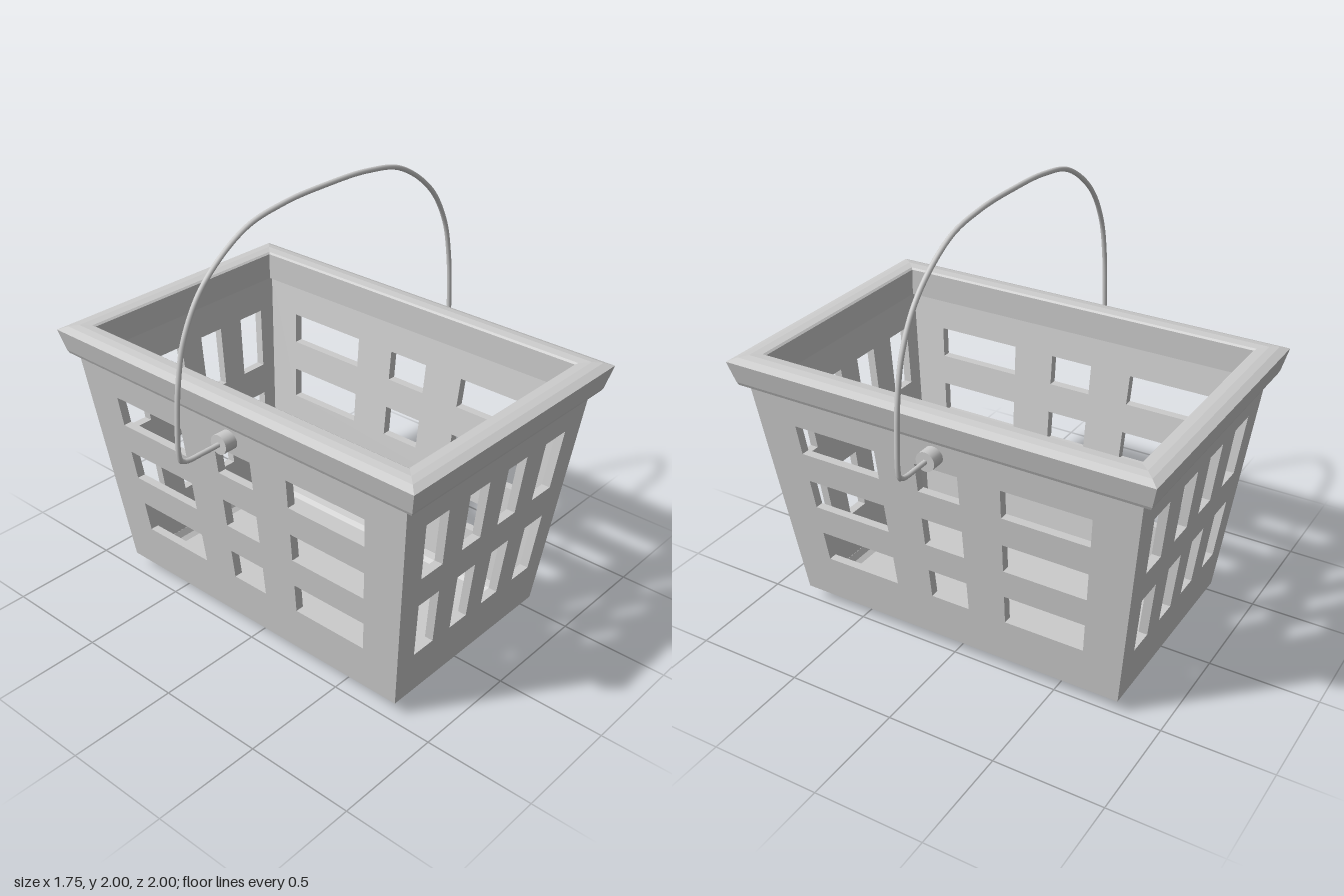
import * as THREE from 'three';

const CX = 0.015;      // basket is set slightly off the handle's centre
const THICK = 0.04;    // wall thickness
const Y0 = 0.065, Y1 = 1.145;
const material = new THREE.MeshStandardMaterial({ color: 0xcccccc, side: THREE.DoubleSide });

function add(parent, name, geometry) {
  const mesh = new THREE.Mesh(geometry, material);
  mesh.name = name;
  parent.add(mesh);
  return mesh;
}

// Half depth (z) and half width (x) of the tapering body at height y
const halfZ = y => THREE.MathUtils.mapLinear(y, Y0, Y1, 0.80, 0.93);
const halfX = y => THREE.MathUtils.mapLinear(y, Y0, Y1, 0.485, 0.612);

// Mitred rectangular frame swept from a closed profile of [half depth, y]
function frame(profile, inset) {
  const corners = [[1, 1], [1, -1], [-1, -1], [-1, 1]];
  const pos = [];
  const point = (c, [r, y]) => [c[0] * (r - inset), y, c[1] * r];
  corners.forEach((c, i) => {
    const d = corners[(i + 1) % 4];
    profile.forEach((p, j) => {
      const q = profile[(j + 1) % profile.length];
      const [a, b, e, f] = [point(c, p), point(d, p), point(d, q), point(c, q)];
      pos.push(...a, ...b, ...e, ...a, ...e, ...f);
    });
  });
  const g = new THREE.BufferGeometry();
  g.setAttribute('position', new THREE.Float32BufferAttribute(pos, 3));
  g.computeVertexNormals();
  return g;
}

// Sloping wall with holes; u runs -1..1 across the width at every height
function wall(width, dist, columns, rows) {
  const shape = new THREE.Shape([[-1, Y0], [1, Y0], [1, Y1], [-1, Y1]].map(p => new THREE.Vector2(...p)));
  for (const [u0, u1] of columns) for (const [v0, v1] of rows) {
    shape.holes.push(new THREE.Path([[u0, v0], [u0, v1], [u1, v1], [u1, v0]].map(p => new THREE.Vector2(...p))));
  }
  const g = new THREE.ExtrudeGeometry(shape, { depth: 1, bevelEnabled: false });
  const p = g.attributes.position;
  for (let i = 0; i < p.count; i++) {
    const u = p.getX(i), y = p.getY(i), inward = (1 - p.getZ(i)) * THICK;
    const mitre = Math.abs(u) > 0.99 ? inward : 0;
    p.setXYZ(i, u * (width(y) - mitre), y, dist(y) - inward);
  }
  g.computeVertexNormals();
  return g;
}

export function createModel() {
  const group = new THREE.Group();
  const basket = new THREE.Group();
  basket.name = 'basket';
  basket.position.x = CX;
  group.add(basket);

  // Pierced walls
  const endWall = wall(halfX, halfZ,
    [[-0.79, -0.55], [-0.325, -0.105], [0.105, 0.325], [0.55, 0.79]],
    [[0.285, 0.565], [0.71, 0.99]]);
  const sideWall = wall(halfZ, halfX,
    [[-0.782, -0.332], [-0.113, 0.113], [0.332, 0.782]],
    [[0.285, 0.43], [0.57, 0.71], [0.85, 0.99]]);
  ['frontWall', 'leftWall', 'backWall', 'rightWall'].forEach((name, k) => {
    add(basket, name, k % 2 ? sideWall : endWall).rotation.y = k * Math.PI / 2;
  });

  // Coved base edge and floor
  add(basket, 'baseEdge', frame([
    [0.73, 0], [0.74, 0.02], [0.755, 0.038], [0.775, 0.05], [0.80, Y0],
    [0.76, 0.085], [0.745, 0.055], [0.72, 0.038],
  ], 0.316));
  add(basket, 'floor', new THREE.BoxGeometry(0.828, 0.04, 1.46)).position.y = 0.02;

  // Overhanging rim
  add(basket, 'rim', frame([
    [0.885, 1.135], [0.93, 1.135], [0.935, 1.145], [0.968, 1.14], [0.975, 1.155],
    [1.0, 1.255], [0.965, 1.27], [0.93, 1.275], [0.89, 1.272], [0.88, 1.265],
  ], 0.333));

  // Pivot pegs
  for (const s of [1, -1]) {
    const peg = add(basket, s > 0 ? 'leftPeg' : 'rightPeg', new THREE.CylinderGeometry(0.044, 0.044, 0.09, 24));
    peg.rotation.z = Math.PI / 2;
    peg.position.set(s * 0.62, 1.065, 0);
  }

  // Wire handle, mirrored about x = 0
  const half = [[0.64, 1.065], [0.74, 1.065], [0.82, 1.067], [0.852, 1.08], [0.862, 1.115], [0.859, 1.25],
    [0.843, 1.42], [0.80, 1.60], [0.69, 1.78], [0.47, 1.935], [0.25, 1.98]];
  const points = [...half, [0, 1.989], ...half.slice().reverse().map(([x, y]) => [-x, y])];
  const path = new THREE.CatmullRomCurve3(points.map(([x, y]) => new THREE.Vector3(x, y, 0)));
  add(group, 'handle', new THREE.TubeGeometry(path, 160, 0.011, 12));

  return group;
}
